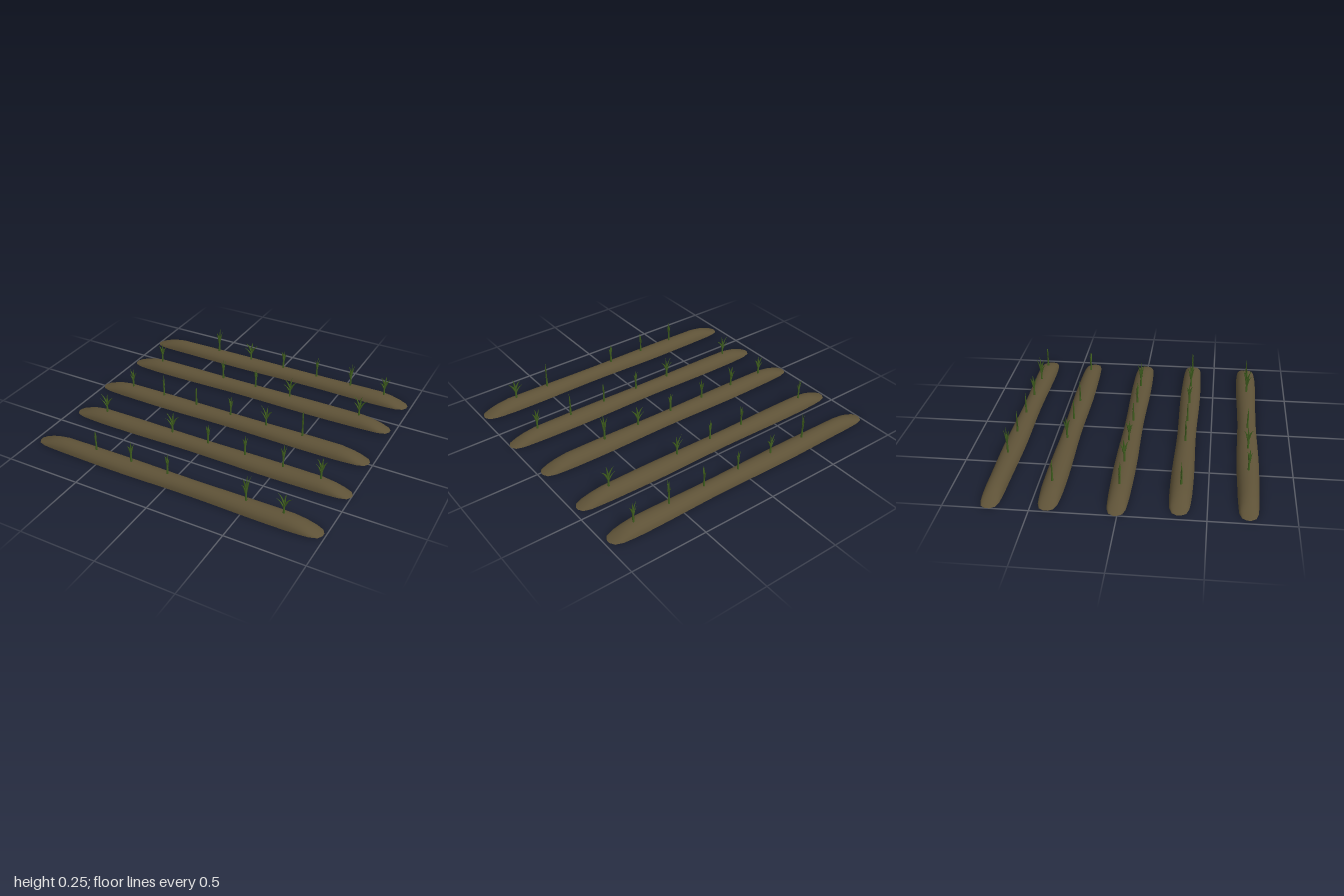
import * as THREE from 'three';

const soil = new THREE.MeshStandardMaterial({ color: 0x5e5237, roughness: 1, side: THREE.DoubleSide });
const green = new THREE.MeshStandardMaterial({ color: 0x40601f, roughness: 0.9, side: THREE.DoubleSide });

// Ridge ends: distance from tip, width factor, height factor
const END = [[0, 0.2, 0], [0.018, 0.66, 0.1], [0.065, 0.9, 0.45], [0.12, 0.96, 0.78], [0.2, 1, 1]];

// Each row: centre z, x range, x of its narrow waist,
// plants as [x, turn in degrees, leaf spread, top height]
const ROWS = [
  { z: -0.737, x0: -1.0, x1: 0.975, waist: 0.22, plants: [
    [-0.48, 60, 0.03, 0.235], [-0.215, 14, 0.05, 0.2], [0.045, 8, 0.02, 0.2],
    [0.305, 75, 0.03, 0.21], [0.56, 70, 0.035, 0.23], [0.805, 18, 0.035, 0.2]] },
  { z: -0.405, x0: -0.99, x1: 0.97, waist: -0.1, plants: [
    [-0.77, 14, 0.03, 0.2], [-0.265, 75, 0.03, 0.21], [-0.01, 0, 0.015, 0.2],
    [0.25, 10, 0.05, 0.2], [0.75, -3, 0.05, 0.205]] },
  { z: -0.012, x0: -1.0, x1: 0.975, waist: 0.05, plants: [
    [-0.76, -10, 0.035, 0.2], [-0.51, 108, 0.03, 0.21], [-0.255, -75, 0.025, 0.2],
    [0.005, 0, 0.02, 0.2], [0.265, -9, 0.05, 0.205], [0.52, -58, 0.03, 0.245]] },
  { z: 0.342, x0: -0.96, x1: 1.0, waist: -0.05, plants: [
    [-0.73, 3, 0.052, 0.2], [-0.225, 7, 0.05, 0.21], [0.035, 5, 0.018, 0.2],
    [0.295, 70, 0.025, 0.2], [0.553, 68, 0.03, 0.22], [0.8, 9, 0.035, 0.21]] },
  { z: 0.732, x0: -0.97, x1: 0.985, waist: 0.15, plants: [
    [-0.535, -75, 0.018, 0.2], [-0.278, 73, 0.03, 0.2], [-0.02, 0, 0.018, 0.2],
    [0.505, 62, 0.035, 0.24], [0.742, -3, 0.05, 0.2]] },
];

// Open half-round mound of earth with tapered ends and a gently wavy width
function ridgeGeometry({ x0, x1, waist }) {
  const stations = END.map(([d, w, h]) => [x0 + d, w, h]);
  const a = x0 + 0.2, b = x1 - 0.2, steps = 16;
  for (let i = 1; i < steps; i++) stations.push([a + (b - a) * i / steps, 1, 1]);
  for (const [d, w, h] of [...END].reverse()) stations.push([x1 - d, w, h]);

  const sides = 10, positions = [], index = [];
  stations.forEach(([x, w, h], i) => {
    const half = 0.0645 * w * (1 - 0.06 * Math.cos(2 * Math.PI * (x - waist) / 1.05));
    for (let j = 0; j <= sides; j++) {
      const t = Math.PI * j / sides;
      positions.push(x, 0.06 * h * Math.sin(t), half * Math.cos(t));
      if (i < stations.length - 1 && j < sides) {
        const p = i * (sides + 1) + j, q = p + sides + 1;
        index.push(p, q, p + 1, q, q + 1, p + 1);
      }
    }
  });
  const geometry = new THREE.BufferGeometry();
  geometry.setAttribute('position', new THREE.Float32BufferAttribute(positions, 3));
  geometry.setIndex(index);
  geometry.computeVertexNormals();
  return geometry;
}

// Slender four-sided leaf that bends from start to tip and narrows to a point
function leafGeometry(startY, reach, tipY, radius) {
  const curve = new THREE.QuadraticBezierCurve3(
    new THREE.Vector3(0, startY, 0),
    new THREE.Vector3(reach * 0.3, startY + (tipY - startY) * 0.75, 0),
    new THREE.Vector3(reach, tipY, 0));
  const rows = 6;
  const geometry = new THREE.CylinderGeometry(1, 1, 1, 4, rows, true);
  const pos = geometry.attributes.position;
  for (let i = 0; i < pos.count; i++) {
    const t = pos.getY(i) + 0.5;
    const c = curve.getPoint(t), d = curve.getTangent(t);
    const r = radius * Math.min(1, 1.5 * (1 - t) + 0.02) * (0.75 + 0.25 * Math.min(1, t * 4));
    const u = pos.getX(i) * r, v = pos.getZ(i) * r * 0.7;
    pos.setXYZ(i, c.x + d.y * u, c.y - d.x * u, v);
  }
  geometry.computeVertexNormals();
  return geometry;
}

function createPlant([x, turn, spread, top]) {
  const plant = new THREE.Group();
  plant.name = 'seedling';
  plant.position.x = x;
  plant.rotation.y = THREE.MathUtils.degToRad(turn);

  const add = (name, geometry) => {
    const mesh = new THREE.Mesh(geometry, green);
    mesh.name = name;
    plant.add(mesh);
    return mesh;
  };
  add('stem', new THREE.CylinderGeometry(0.005, 0.007, 0.08, 6)).position.y = 0.09;
  add('centreShoot', leafGeometry(0.11, spread * 0.25, top, 0.0065));
  add('rightLeaf', leafGeometry(0.1, spread, top - 0.025, 0.0065));
  add('leftLeaf', leafGeometry(0.115, -spread * 0.85, top - 0.015, 0.0065));
  if (spread > 0.03) add('lowLeaf', leafGeometry(0.09, -spread, top - 0.055, 0.0055));
  return plant;
}

export function createModel() {
  const model = new THREE.Group();
  model.name = 'cropRows';
  for (const row of ROWS) {
    const group = new THREE.Group();
    group.name = 'cropRow';
    group.position.z = row.z;
    const ridge = new THREE.Mesh(ridgeGeometry(row), soil);
    ridge.name = 'soilRidge';
    group.add(ridge, ...row.plants.map(createPlant));
    model.add(group);
  }
  return model;
}
